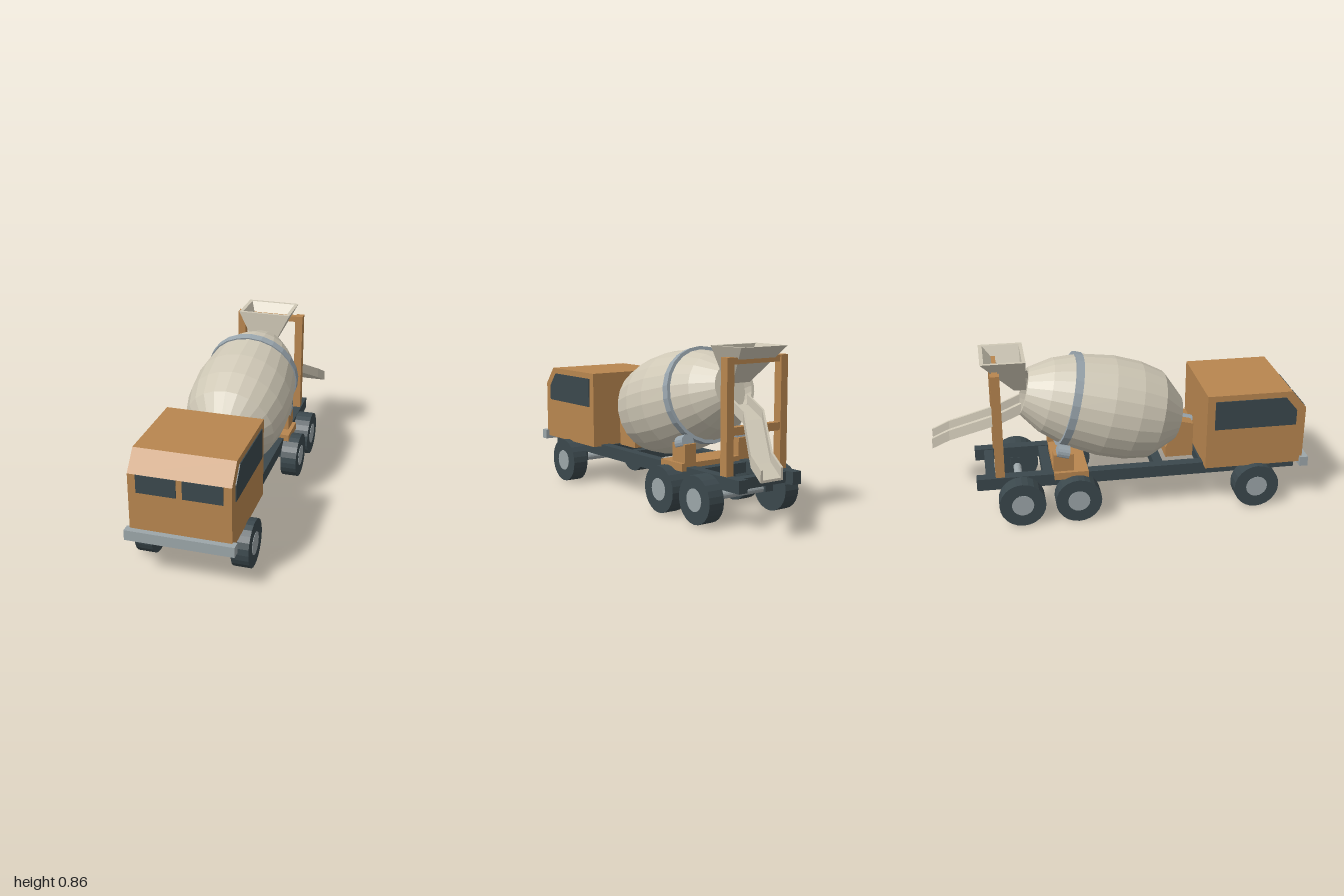
import * as THREE from 'three';

const mat = (name, color) => {
  const m = new THREE.MeshStandardMaterial({ color });
  m.name = name;
  return m;
};

// Faceted normals without touching the material
function flat(geo) {
  const g = geo.index ? geo.toNonIndexed() : geo;
  g.computeVertexNormals();
  return g;
}

// Extrude a [z, y] outline across x, centred on x = cx
function sideExtrude(points, width, cx = 0) {
  const shape = new THREE.Shape(points.map(([z, y]) => new THREE.Vector2(-z, y)));
  const g = new THREE.ExtrudeGeometry(shape, { depth: width, bevelEnabled: false });
  return g.rotateY(Math.PI / 2).translate(cx - width / 2, 0, 0);
}

const lathe = (pts, seg) =>
  flat(new THREE.LatheGeometry(pts.map(([r, y]) => new THREE.Vector2(r, y)), seg));

export function createModel() {
  const root = new THREE.Group();
  root.name = 'mixerTruck';
  const orange = mat('ochre paint', 0xb8864f);
  const dark = mat('dark slate', 0x3b484d);
  const steel = mat('steel grey', 0x9ca6a9);
  const ringGrey = mat('ring grey', 0x98a4ac);
  const cream = mat('drum cream', 0xcfc8b6);

  const add = (name, geo, material, parent = root) => {
    const m = new THREE.Mesh(geo, material);
    m.name = name;
    parent.add(m);
    return m;
  };
  // Box from min/max ranges
  const box = (name, material, [x0, x1], [y0, y1], [z0, z1]) =>
    add(name, new THREE.BoxGeometry(x1 - x0, y1 - y0, z1 - z0)
      .translate((x0 + x1) / 2, (y0 + y1) / 2, (z0 + z1) / 2), material);
  const mirrorBox = (name, material, [x0, x1], y, z) => {
    box(name, material, [x0, x1], y, z);
    box(name, material, [-x1, -x0], y, z);
  };
  // Cylinder along x
  const xCyl = (name, material, r, len, x, y, z, seg) =>
    add(name, flat(new THREE.CylinderGeometry(r, r, len, seg).rotateZ(Math.PI / 2))
      .translate(x, y, z), material);

  // Chassis
  mirrorBox('chassisRail', dark, [0.145, 0.2], [0.18, 0.245], [-0.775, 0.945]);
  for (const z of [0.9, 0.45, 0.2, -0.4, -0.7])
    box('crossMember', dark, [-0.146, 0.146], [0.185, 0.24], [z - 0.025, z + 0.025]);
  box('bumper', steel, [-0.27, 0.27], [0.215, 0.268], [0.955, 1]);

  // Axles, hangers and wheels
  for (const z of [0.715, -0.25, -0.545]) {
    xCyl('axle', steel, 0.022, 0.42, 0, 0.125, z, 16);
    mirrorBox('axleHanger', dark, [0.143, 0.193], [0.11, 0.181], [z - 0.035, z + 0.035]);
    for (const s of [-1, 1]) {
      xCyl('tyre', dark, 0.122, 0.088, s * 0.244, 0.122, z, 24);
      xCyl('hub', steel, 0.058, 0.04, s * 0.27, 0.122, z, 20);
    }
  }

  // Cab and windows
  add('cab', sideExtrude([[0.97, 0.235], [0.97, 0.555], [0.89, 0.652], [0.435, 0.652],
    [0.435, 0.235]], 0.5), orange);
  const pane = [[0.92, 0.46], [0.92, 0.545], [0.857, 0.62], [0.477, 0.62], [0.477, 0.46]];
  for (const s of [-1, 1]) add('sideWindow', sideExtrude(pane, 0.008, s * 0.251), dark);
  mirrorBox('windscreen', dark, [0.015, 0.21], [0.463, 0.555], [0.967, 0.974]);

  // Drum, tilted up towards the back
  const drum = new THREE.Group();
  drum.name = 'drumAssembly';
  drum.position.set(0, 0.428, 0.32);
  drum.rotation.x = -75 * Math.PI / 180;
  root.add(drum);
  add('drum', lathe([[0, 0], [0.125, 0], [0.24, 0.13], [0.268, 0.26], [0.272, 0.41],
    [0.246, 0.6], [0.2, 0.73], [0.125, 0.85], [0.108, 0.85], [0.13, 0.77], [0, 0.77]], 24),
  cream, drum);
  add('drumRing', lathe([[0.23, 0.585], [0.255, 0.585], [0.255, 0.625], [0.23, 0.625]], 24),
    ringGrey, drum);
  add('driveHub', flat(new THREE.CylinderGeometry(0.032, 0.032, 0.1, 16))
    .translate(0, -0.04, 0), ringGrey, drum);
  for (const s of [-1, 1])
    add('supportRoller', flat(new THREE.CylinderGeometry(0.038, 0.038, 0.065, 16))
      .translate(s * 0.178, 0.6, -0.229), ringGrey, drum);

  // Drum supports
  add('frontPedestal', sideExtrude([[0.4, 0.24], [0.4, 0.43], [0.32, 0.45], [0.25, 0.3],
    [0.25, 0.24]], 0.19), orange);
  box('rollerPlate', orange, [-0.23, 0.23], [0.225, 0.265], [-0.37, -0.19]);
  mirrorBox('rollerPedestal', orange, [0.14, 0.21], [0.26, 0.36], [-0.37, -0.265]);

  // Rear frame
  mirrorBox('rearPost', orange, [0.15, 0.193], [0.24, 0.815], [-0.675, -0.627]);
  box('topBeam', orange, [-0.16, 0.16], [0.78, 0.812], [-0.665, -0.635]);
  box('chuteBeam', orange, [-0.16, 0.16], [0.44, 0.48], [-0.67, -0.632]);

  // Hopper: outer and inner walls joined through four rectangular rings
  const rings = [
    [0.055, 0.675, -0.55, -0.49], [0.147, 0.862, -0.72, -0.49],
    [0.127, 0.862, -0.7, -0.508], [0.037, 0.675, -0.54, -0.505],
  ].map(([x, y, back, front]) => [[-x, y, front], [x, y, front], [x, y, back], [-x, y, back]]);
  const pos = [];
  rings.forEach((a, i) => {
    const b = rings[(i + 1) % 4];
    for (let k = 0; k < 4; k++) {
      const n = (k + 1) % 4;
      pos.push(...a[k], ...a[n], ...b[n], ...a[k], ...b[n], ...b[k]);
    }
  });
  const hopper = new THREE.BufferGeometry();
  hopper.setAttribute('position', new THREE.Float32BufferAttribute(pos, 3));
  add('hopper', flat(hopper), cream);

  // Chute: a U section whose steps are moved along a bent path
  const u = new THREE.Shape([[-0.067, 0], [0.067, 0], [0.067, 0.058], [0.054, 0.058],
    [0.054, 0.012], [-0.054, 0.012], [-0.054, 0.058], [-0.067, 0.058]]
    .map((p) => new THREE.Vector2(...p)));
  const path = [[0.198, 0.282, -1], [0.175, 0.335, -0.905], [0, 0.49, -0.645], [-0.01, 0.55, -0.52]];
  const chute = new THREE.ExtrudeGeometry(u, { depth: 3, steps: 3, bevelEnabled: false });
  const p = chute.attributes.position;
  for (let i = 0; i < p.count; i++) {
    const [x, y, z] = path[Math.round(p.getZ(i))];
    p.setXYZ(i, p.getX(i) + x, p.getY(i) + y, z);
  }
  add('chute', flat(chute), cream);

  return root;
}
